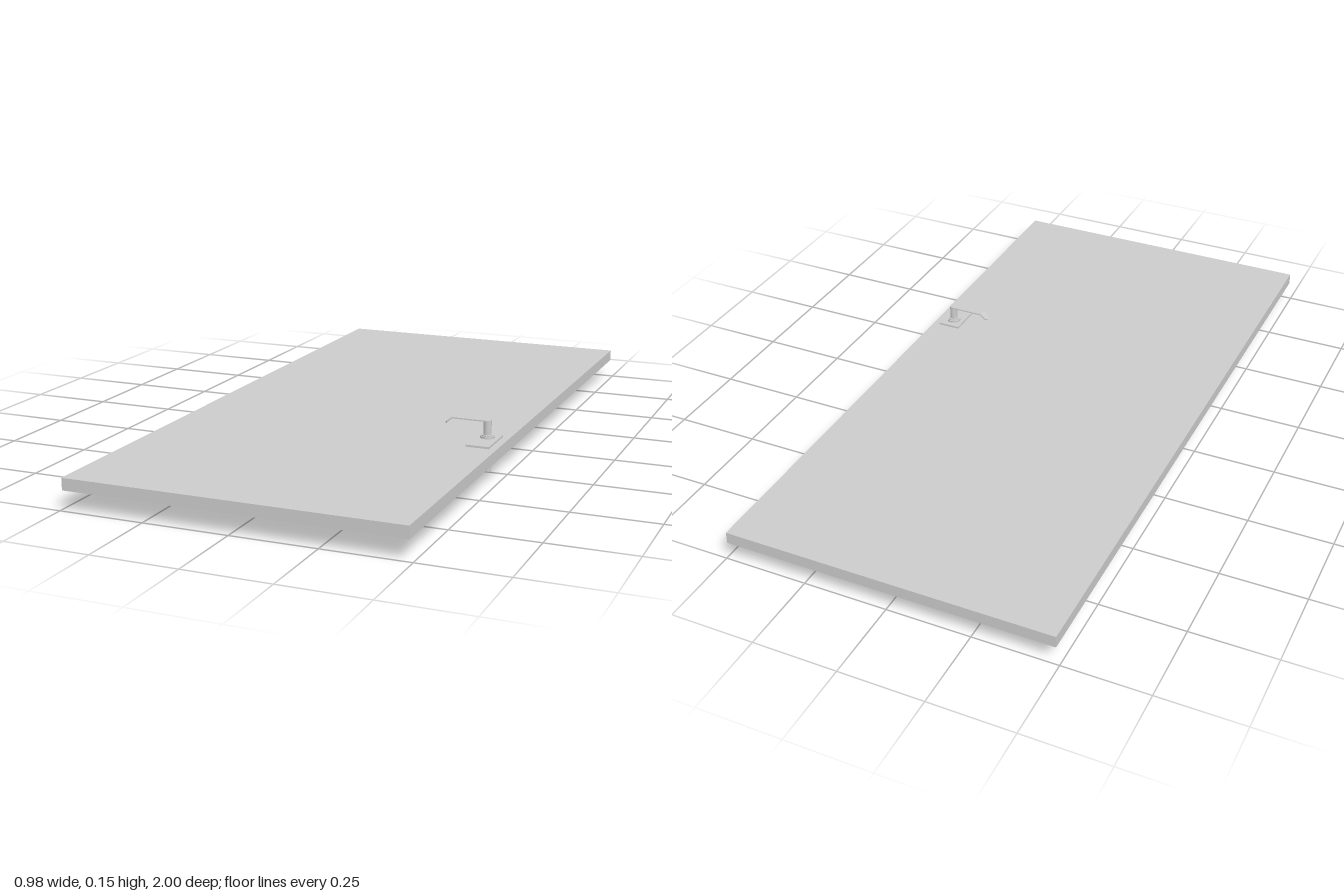
import * as THREE from 'three';

const material = new THREE.MeshStandardMaterial({ color: 0xcccccc });
const MID = 0.0755; // height of the slab's middle plane
const HALF_W = 0.0115; // half width of the lever

function addMesh(parent, name, geometry, x, y, z) {
  const mesh = new THREE.Mesh(geometry, material);
  mesh.name = name;
  mesh.position.set(x, y, z);
  parent.add(mesh);
  return mesh;
}

// Flat strip running along -x from the origin, with optional rounded ends; its top is at y = 0
function strip(length, roundStart, roundEnd, thickness = 0.004) {
  const shape = new THREE.Shape();
  shape.moveTo(0, -HALF_W);
  if (roundStart) shape.absarc(0, 0, HALF_W, -Math.PI / 2, Math.PI / 2, false);
  else shape.lineTo(0, HALF_W);
  shape.lineTo(-length, HALF_W);
  if (roundEnd) shape.absarc(-length, 0, HALF_W, Math.PI / 2, Math.PI * 1.5, false);
  else shape.lineTo(-length, -HALF_W);
  shape.closePath();
  const geometry = new THREE.ExtrudeGeometry(shape, { depth: thickness, bevelEnabled: false, curveSegments: 12 });
  return geometry.rotateX(-Math.PI / 2).translate(0, -thickness, 0);
}

// One handle measured outward from the slab's middle plane; side = 1 for top, -1 for underside
function handle(side) {
  const group = new THREE.Group();
  addMesh(group, 'backPlate', new THREE.BoxGeometry(0.068, 0.006, 0.13), 0, 0.0205, side * 0.027);
  addMesh(group, 'roseBase', new THREE.CylinderGeometry(0.021, 0.021, 0.006, 32), 0, 0.0265, 0);
  addMesh(group, 'roseCollar', new THREE.CylinderGeometry(0.017, 0.017, 0.004, 32), 0, 0.031, 0);
  addMesh(group, 'spindle', new THREE.CylinderGeometry(HALF_W, HALF_W, 0.042, 32), 0, 0.0505, 0);
  addMesh(group, 'leverArm', strip(0.105, true, false), 0, 0.0755, 0);
  const tip = addMesh(group, 'leverTip', strip(0.0175, false, true), -0.105, 0.0755, 0);
  tip.rotation.z = 0.7;
  group.position.set(0.434, MID, 0.237);
  if (side < 0) group.rotation.x = Math.PI;
  return group;
}

export function createModel() {
  const model = new THREE.Group();
  model.name = 'door';

  // Door leaf lying flat
  addMesh(model, 'doorLeaf', new THREE.BoxGeometry(0.98, 0.035, 2), 0, MID, 0);

  // Matching handles on both faces
  for (const side of [1, -1]) {
    const group = handle(side);
    group.name = side > 0 ? 'upperHandle' : 'lowerHandle';
    model.add(group);
  }
  return model;
}
